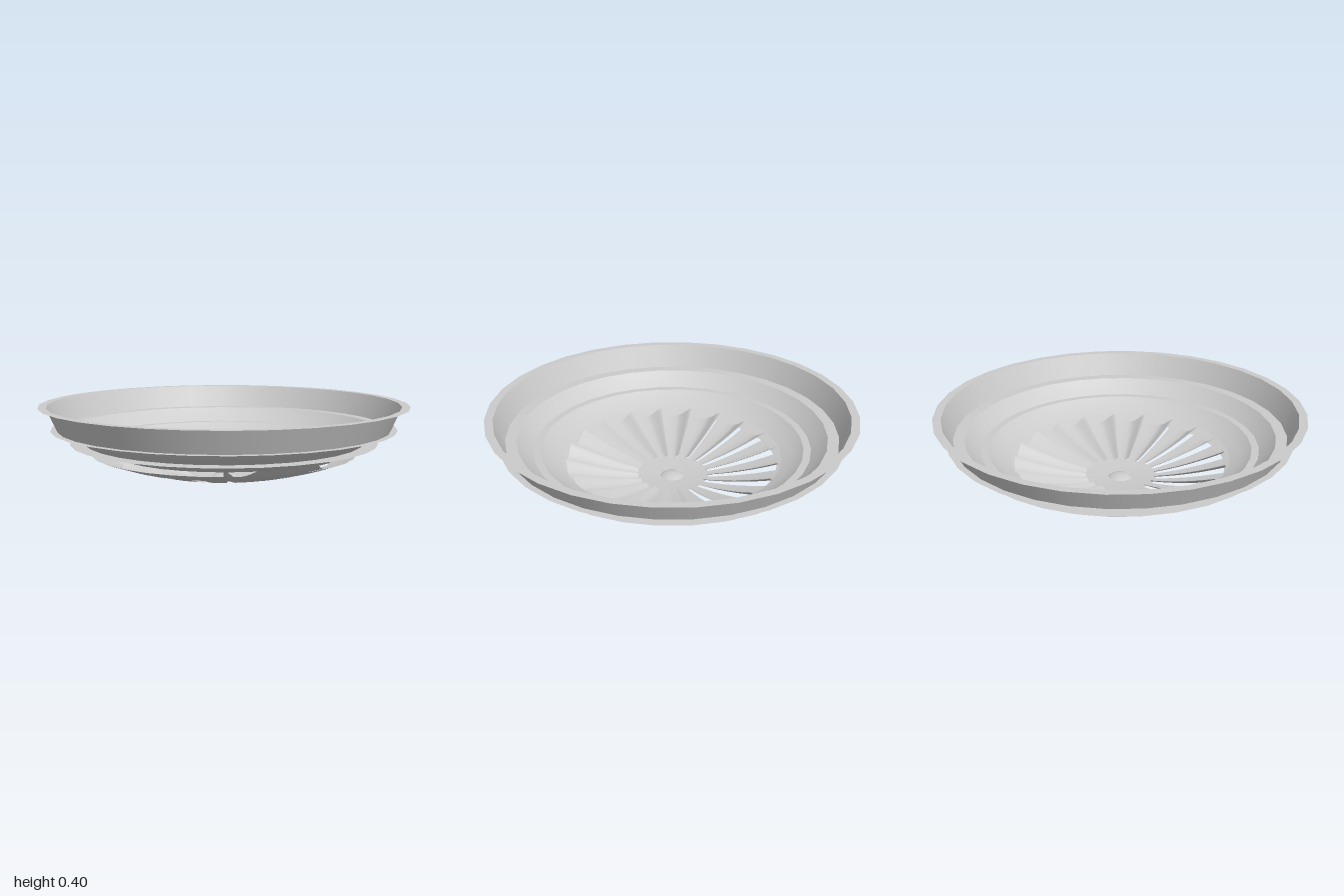
import * as THREE from 'three';

const material = new THREE.MeshStandardMaterial({ color: 0xcccccc, side: THREE.DoubleSide });
const SIDES = 32;
const SLATS = 20;

// Height of the shallow spherical base at a given radius
const bowlY = (r) => 0.136 * (r / 0.72) ** 2;

function turned(name, profile) {
  const points = profile.map(([r, y]) => new THREE.Vector2(r, y));
  const mesh = new THREE.Mesh(new THREE.LatheGeometry(points, SIDES), material);
  mesh.name = name;
  return mesh;
}

// One vent slat: flat along the bowl, then curling up over its neighbour
function slatGeometry() {
  const section = [[-11, 0], [-5, 0], [0, 0], [3, 0.012], [6, 0.035], [8, 0.05], [9, 0.052]];
  const rows = 6;
  const positions = [];
  const index = [];
  for (let i = 0; i <= rows; i++) {
    const r = 0.19 + (0.39 * i) / rows;
    for (const [degrees, lift] of section) {
      const a = THREE.MathUtils.degToRad(degrees);
      positions.push(r * Math.sin(a), bowlY(r) + (lift * r) / 0.58, -r * Math.cos(a));
    }
  }
  const n = section.length;
  for (let i = 0; i < rows; i++) {
    for (let j = 0; j < n - 1; j++) {
      const a = i * n + j;
      index.push(a, a + 1, a + n, a + 1, a + n + 1, a + n);
    }
  }
  const geometry = new THREE.BufferGeometry();
  geometry.setAttribute('position', new THREE.Float32BufferAttribute(positions, 3));
  geometry.setIndex(index);
  geometry.computeVertexNormals();
  return geometry;
}

export function createModel() {
  const model = new THREE.Group();
  model.name = 'steppedVentDish';

  // Stacked tiers, each a sloping wall with a flat flange around its top
  model.add(
    turned('topFlange', [[0.955, 0.4], [1, 0.4]]),
    turned('topWall', [[0.9, 0.275], [0.955, 0.4]]),
    turned('middleFlange', [[0.84, 0.275], [0.935, 0.275]]),
    turned('middleWall', [[0.755, 0.2], [0.785, 0.224], [0.815, 0.25], [0.84, 0.275]]),
    turned('lowerFlange', [[0.715, 0.2], [0.835, 0.2]]),
    turned('lowerWall', [[0.6, 0.136], [0.645, 0.156], [0.685, 0.178], [0.715, 0.2]]),
  );

  // Solid outer band of the base
  const band = [0.575, 0.61, 0.65, 0.685, 0.72].map((r) => [r, bowlY(r)]);
  model.add(turned('baseRing', band));

  // Radial vent slats
  const slats = new THREE.Group();
  slats.name = 'ventSlats';
  const geometry = slatGeometry();
  for (let i = 0; i < SLATS; i++) {
    const slat = new THREE.Mesh(geometry, material);
    slat.name = 'slat';
    slat.rotation.y = (-i * Math.PI * 2) / SLATS;
    slats.add(slat);
  }
  model.add(slats);

  // Central hub and its small domed button
  model.add(
    turned('hub', [[0.065, 0.003], [0.13, 0.006], [0.2, 0.012]]),
    turned('hubButton', [[0, 0.02], [0.025, 0.018], [0.05, 0.011], [0.067, 0]]),
  );
  return model;
}
